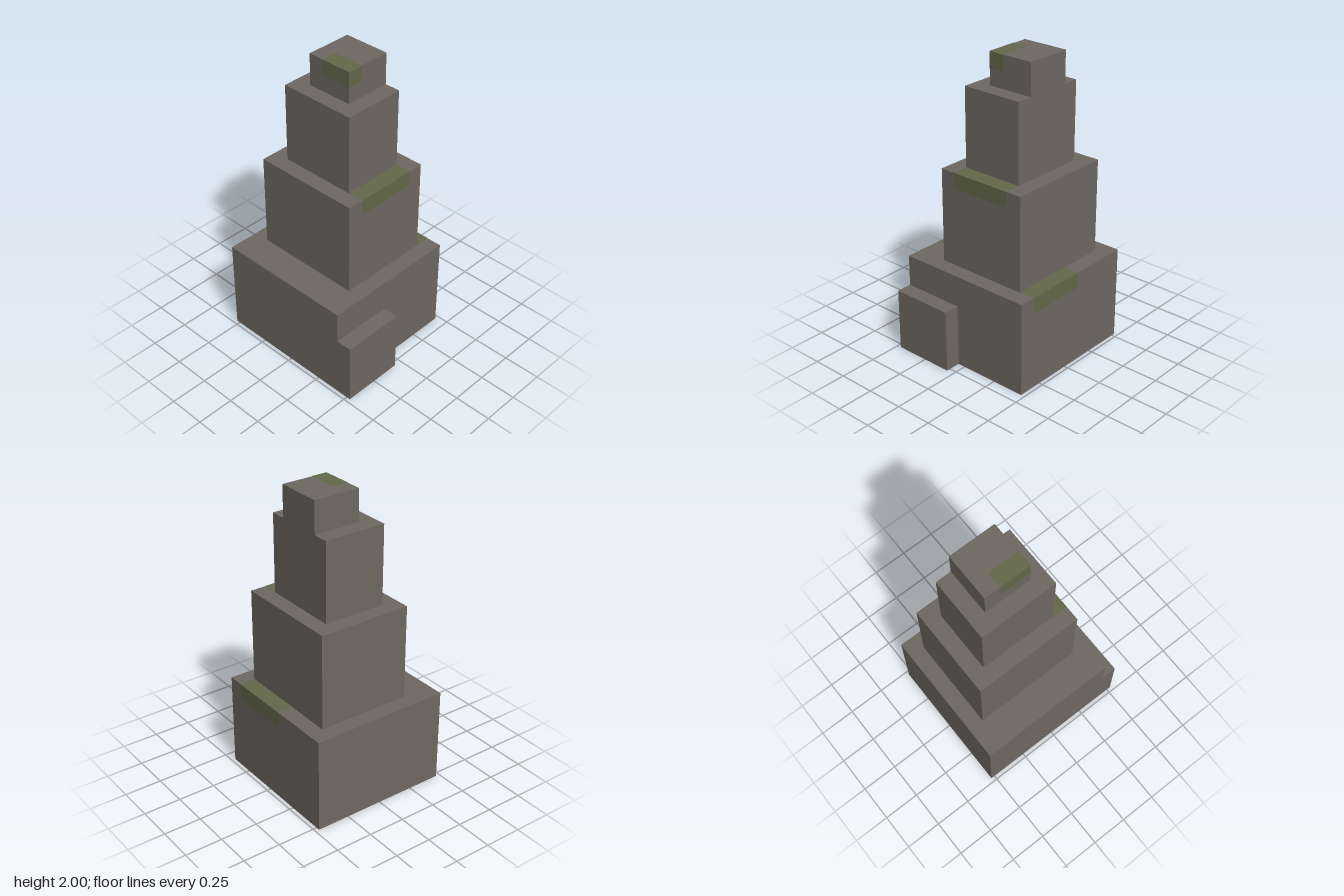
import * as THREE from 'three';

const U = 2 / 19; // one grid step of the tower

export function createModel() {
  const group = new THREE.Group();
  const stone = new THREE.MeshStandardMaterial({ name: 'stone', color: 0x6e6862 });
  const moss = new THREE.MeshStandardMaterial({ name: 'moss', color: 0x636849 });

  // Stone block from its extents in grid steps
  function block(name, [x0, x1], [y0, y1], [z0, z1]) {
    const mesh = new THREE.Mesh(
      new THREE.BoxGeometry((x1 - x0) * U, (y1 - y0) * U, (z1 - z0) * U), stone);
    mesh.name = name;
    mesh.position.set((x0 + x1) / 2, (y0 + y1) / 2, (z0 + z1) / 2).multiplyScalar(U);
    group.add(mesh);
  }

  block('baseTier', [-5, 4], [0, 6], [-4.5, 4.5]);
  block('sideStep', [4, 5], [0, 4], [0.5, 4.5]);
  block('secondTier', [-4, 3], [6, 12], [-3.5, 2.5]);
  block('thirdTier', [-3, 2], [12, 17], [-2.5, 1.5]);
  block('topTier', [-2, 1], [17, 19], [-2.5, 0.5]);

  // Flat moss face; radii of its corners: bottom left, bottom right, top left
  function patch(name, w, h, side, centre, bl = 0, br = 0, tl = 0) {
    const x = w * U / 2, y = h * U / 2;
    const s = new THREE.Shape();
    s.moveTo(-x + bl, -y);
    s.lineTo(x - br, -y);
    if (br) s.quadraticCurveTo(x, -y, x, -y + br);
    s.lineTo(x, y);
    s.lineTo(-x + tl, y);
    if (tl) s.quadraticCurveTo(-x, y, -x, y - tl);
    s.lineTo(-x, -y + bl);
    if (bl) s.quadraticCurveTo(-x, -y, -x + bl, -y);
    const mesh = new THREE.Mesh(new THREE.ShapeGeometry(s, 5), moss);
    mesh.name = name;
    if (side === 'top') mesh.rotation.x = -Math.PI / 2;
    if (side === 'right') mesh.rotation.y = Math.PI / 2;
    if (side === 'back') mesh.rotation.y = Math.PI;
    // Lift the face slightly off the stone
    const lift = new THREE.Vector3(0, 0, 0.002).applyEuler(mesh.rotation);
    mesh.position.set(...centre).multiplyScalar(U).add(lift);
    group.add(mesh);
  }

  const r = 0.025;
  // Moss wrapped over the front corner of the top tier
  patch('topMossFront', 2, 1, 'front', [0, 18.5, 0.5], r);
  patch('topMossSide', 1, 1, 'right', [1, 18.5, 0], 0, r);
  patch('topMossUpper', 2, 1, 'top', [0, 19, 0], 0, 0, r);
  // Moss over the side edge of the second tier
  patch('secondMossSide', 4, 1, 'right', [3, 11.5, -0.5], r, r);
  patch('secondMossUpper', 1, 4, 'top', [2.5, 12, -0.5]);
  // Moss over the back edge of the base
  patch('baseMossBack', 4, 1, 'back', [1, 5.5, -4.5], r, r);
  patch('baseMossUpper', 4, 1, 'top', [1, 6, -4]);

  return group;
}
